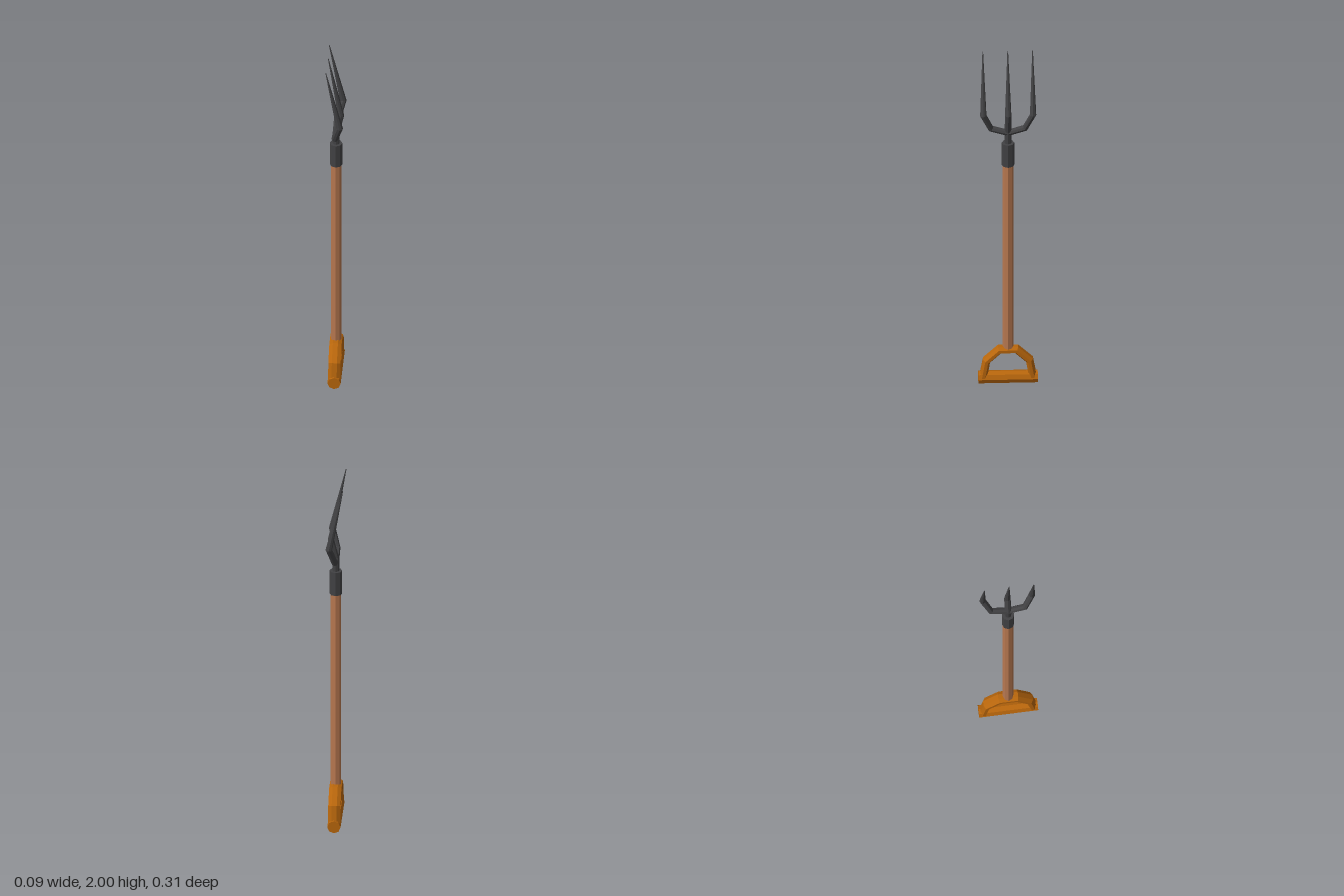
import * as THREE from 'three';

const SIDES = 8;
const mat = (color) => new THREE.MeshStandardMaterial({ color, flatShading: true, roughness: 0.8 });

// Sweeps an eight-sided section along a bent path; radii are [inPlane, acrossX] per point.
function sweep(path, radii, turn = 0) {
  const pts = path.map((p) => new THREE.Vector3(...p));
  const n = pts.length, pos = [], idx = [];
  const xAxis = new THREE.Vector3(1, 0, 0);
  const dir = (i) => pts[i + 1].clone().sub(pts[i]).normalize();
  pts.forEach((p, i) => {
    const t = dir(Math.min(i, n - 2)).add(dir(Math.max(i - 1, 0))).normalize();
    const u = xAxis.clone().cross(t).normalize();
    const v = t.clone().cross(u);
    for (let k = 0; k < SIDES; k++) {
      const a = (k / SIDES) * Math.PI * 2 + turn;
      const q = p.clone().addScaledVector(u, Math.cos(a) * radii[i][0]).addScaledVector(v, Math.sin(a) * radii[i][1]);
      pos.push(q.x, q.y, q.z);
    }
  });
  for (let i = 0; i < n - 1; i++) {
    for (let k = 0; k < SIDES; k++) {
      const a = i * SIDES + k, b = i * SIDES + (k + 1) % SIDES;
      idx.push(a, b, a + SIDES, b, b + SIDES, a + SIDES);
    }
  }
  // End caps
  const last = (n - 1) * SIDES;
  for (let k = 1; k < SIDES - 1; k++) idx.push(0, k + 1, k, last, last + k, last + k + 1);
  const g = new THREE.BufferGeometry();
  g.setAttribute('position', new THREE.Float32BufferAttribute(pos, 3));
  g.setIndex(idx);
  const flat = g.toNonIndexed();
  flat.computeVertexNormals();
  return flat;
}

export function createModel() {
  const group = new THREE.Group();
  const wood = mat(0xb87850), grip = mat(0xb8660c), iron = mat(0x424244);

  const add = (name, geometry, material) => {
    const m = new THREE.Mesh(geometry, material);
    m.name = name;
    group.add(m);
    return m;
  };
  const post = (name, r, y0, y1, material) => {
    add(name, new THREE.CylinderGeometry(r, r, y1 - y0, SIDES), material).position.y = (y0 + y1) / 2;
  };

  // Shaft and metal socket
  post('shaft', 0.028, 0.2, 1.36, wood);
  post('socket', 0.033, 1.33, 1.465, iron);

  // Grip bar across the bottom
  const bar = add('gripBar', new THREE.CylinderGeometry(0.035, 0.035, 0.312, SIDES), grip);
  bar.rotation.x = Math.PI / 2;
  bar.position.y = 0.035;

  // Arch joining the bar to the shaft
  const half = [[0, 0.04, 0.13], [0, 0.138, 0.113], [0, 0.203, 0.045]];
  const arch = [...half, ...half.map(([x, y, z]) => [x, y, -z]).reverse()];
  add('gripArch', sweep(arch, arch.map(() => [0.022, 0.035]), Math.PI / 8), grip);

  // Middle tine, rising straight out of the socket
  add('middleTine',
    sweep([[0, 1.44, 0], [0, 1.535, 0], [0.026, 1.645, 0], [-0.041, 2, 0]],
      [[0.018, 0.018], [0.018, 0.018], [0.017, 0.017], [0.002, 0.002]]), iron);

  // Outer tines branching from the neck
  for (const s of [1, -1]) {
    add(s > 0 ? 'frontTine' : 'backTine',
      sweep([[0, 1.525, 0], [0, 1.553, s * 0.09], [0.028, 1.65, s * 0.131], [-0.045, 1.997, s * 0.131]],
        [[0.016, 0.018], [0.017, 0.018], [0.017, 0.018], [0.002, 0.002]]), iron);
  }
  return group;
}
